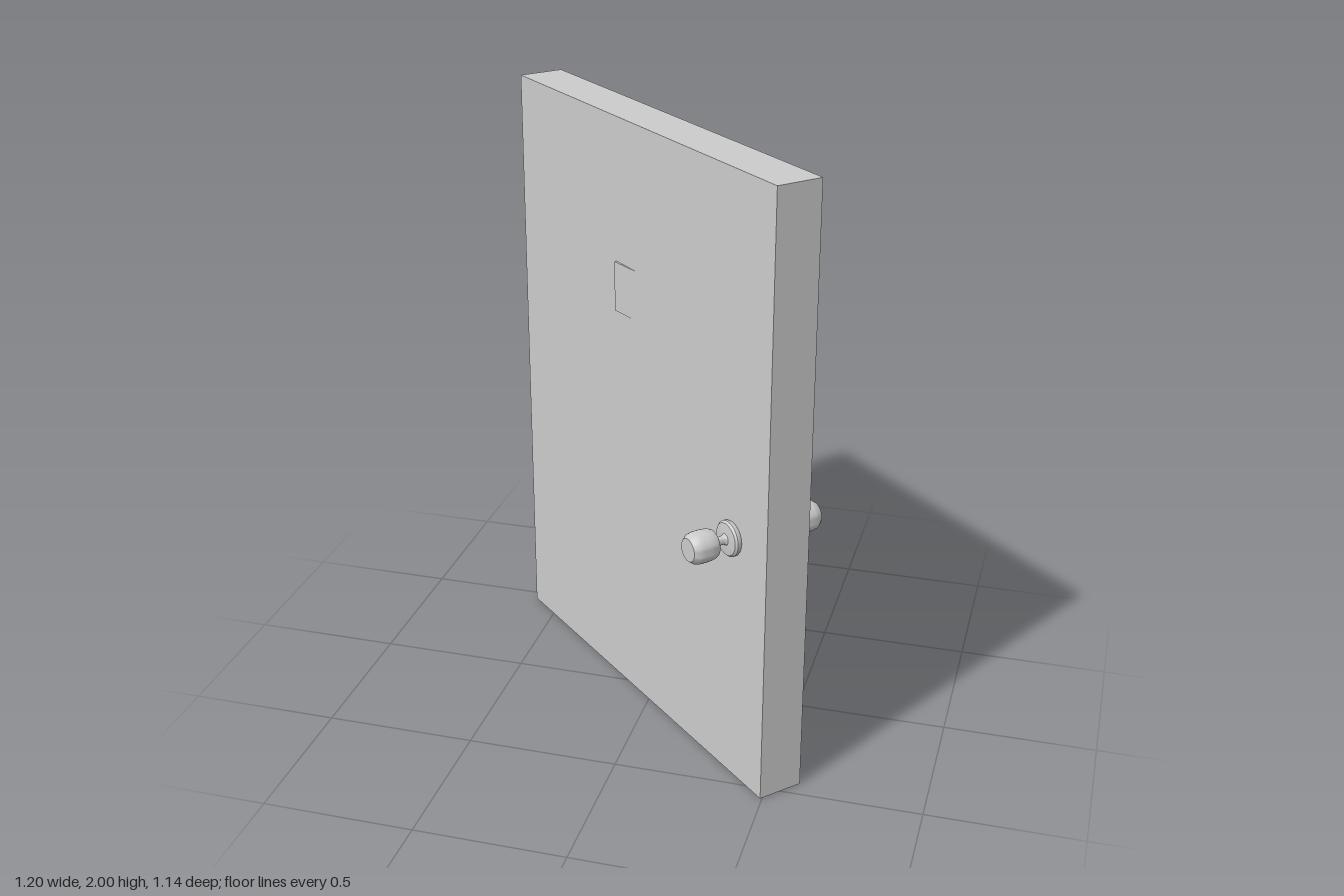
import * as THREE from 'three';
import { toCreasedNormals } from 'three/addons/utils/BufferGeometryUtils.js';

const material = new THREE.MeshStandardMaterial({ color: 0xcccccc });

function addMesh(parent, name, geometry) {
  const mesh = new THREE.Mesh(geometry, material);
  mesh.name = name;
  parent.add(mesh);
  return mesh;
}

// Turned part: [radius, height] pairs, axis laid along +z
function turned(profile) {
  const geometry = new THREE.LatheGeometry(profile.map(([r, h]) => new THREE.Vector2(r, h)), 32);
  geometry.rotateX(Math.PI / 2);
  return toCreasedNormals(geometry, 0.6);
}

function makeHandle(name) {
  const handle = new THREE.Group();
  handle.name = name;
  addMesh(handle, 'rosette', turned([[0, 0.07], [0.05, 0.07], [0.058, 0.083], [0.058, 0.092], [0.052, 0.099], [0.03, 0.102], [0, 0.102]]));
  addMesh(handle, 'stem', turned([[0.02, 0.1], [0.014, 0.108], [0.013, 0.13], [0.018, 0.145]]));
  addMesh(handle, 'knob', turned([
    [0, 0.141], [0.034, 0.141], [0.044, 0.147], [0.049, 0.158], [0.051, 0.18],
    [0.051, 0.205], [0.048, 0.221], [0.037, 0.235], [0, 0.235],
  ]));
  return handle;
}

export function createModel() {
  const model = new THREE.Group();
  model.name = 'door';

  // Leaf with a knob on each face, standing ajar
  const leaf = new THREE.Group();
  leaf.name = 'doorLeaf';
  leaf.position.z = -0.0075;
  leaf.rotation.y = -0.748;
  model.add(leaf);
  addMesh(leaf, 'panel', new THREE.BoxGeometry(1.49, 2, 0.153)).position.y = 1;
  for (const [name, turn] of [['frontHandle', 0], ['backHandle', Math.PI]]) {
    const handle = makeHandle(name);
    handle.position.set(0.559, 0.845, 0);
    handle.rotation.y = turn;
    leaf.add(handle);
  }

  // Slightly skewed block through the leaf, proud of the back face
  const outline = [[-0.014, -0.165], [-0.146, -0.027], [0.035, 0.119], [0.139, -0.008]];
  const shape = new THREE.Shape(outline.map(([x, z]) => new THREE.Vector2(x, -z)));
  const block = new THREE.ExtrudeGeometry(shape, { depth: 0.165, bevelEnabled: false });
  block.rotateX(-Math.PI / 2);
  addMesh(model, 'hatch', block).position.y = 1.365;

  return model;
}
